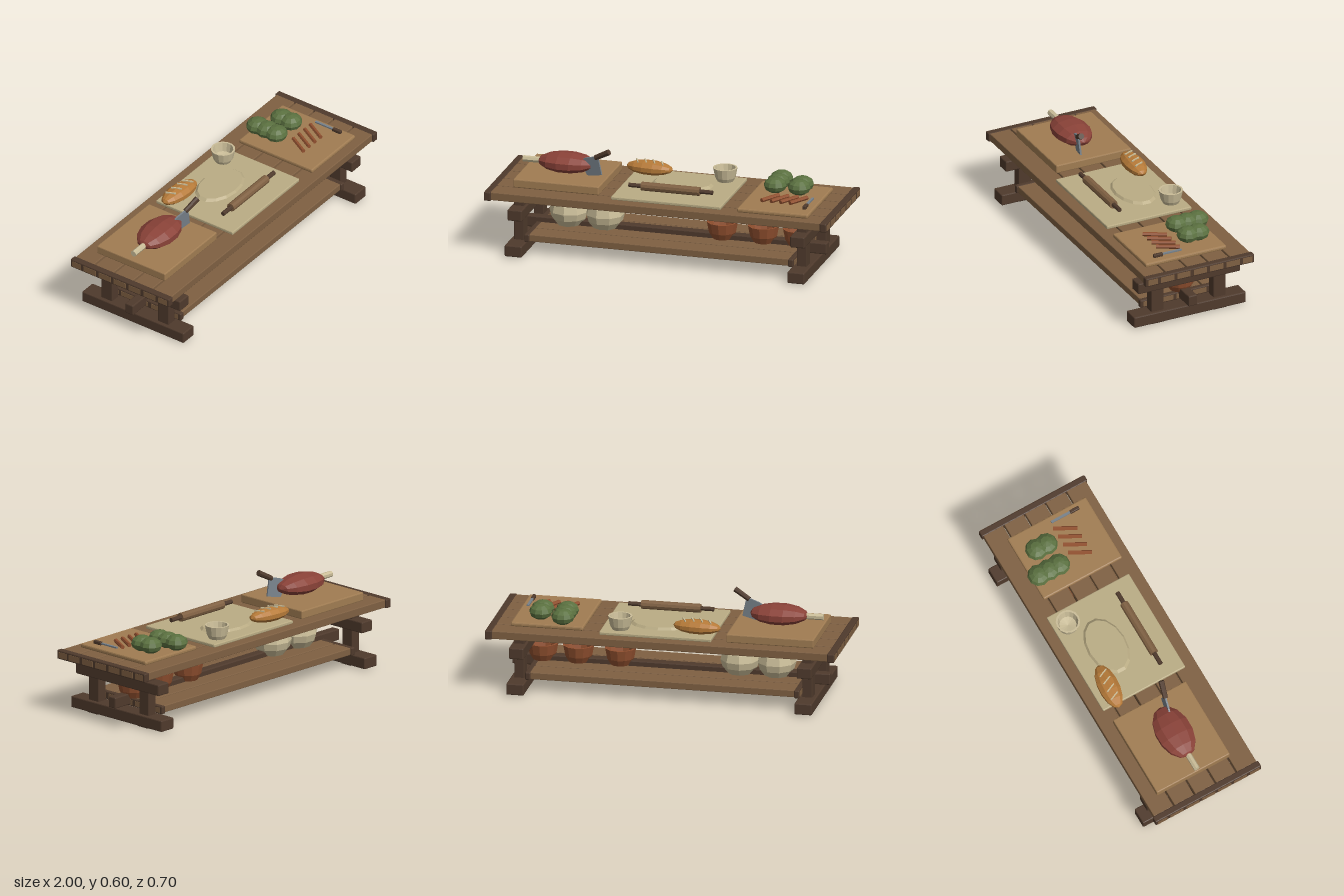
import * as THREE from 'three';
import { RoundedBoxGeometry } from 'three/addons/geometries/RoundedBoxGeometry.js';

const mat = (name, color) => new THREE.MeshStandardMaterial({ name, color, flatShading: true });

export function createModel() {
  const root = new THREE.Group();
  root.name = 'kitchenTable';
  const M = {
    dark: mat('darkWood', 0x4f3a2c),
    plank: mat('plankWood', 0x7f6042),
    board: mat('boardWood', 0xa07c52),
    cloth: mat('cloth', 0xbaac84),
    cream: mat('cream', 0xcabd98),
    meat: mat('meat', 0x8a4238),
    crust: mat('crust', 0xb67a38),
    clay: mat('clay', 0x91502f),
    green: mat('green', 0x5b7140),
    steel: mat('steel', 0x77818a),
  };

  const add = (name, geo, material, x = 0, y = 0, z = 0, parent = root) => {
    const m = new THREE.Mesh(geo, material);
    m.name = name;
    m.position.set(x, y, z);
    parent.add(m);
    return m;
  };
  // Chamfered block given by its extents
  const block = (name, material, [x0, x1], [y0, y1], [z0, z1], bevel = 0.006) =>
    add(name, new RoundedBoxGeometry(x1 - x0, y1 - y0, z1 - z0, 1, bevel), material,
      (x0 + x1) / 2, (y0 + y1) / 2, (z0 + z1) / 2);
  const lathe = (pts, sides) =>
    new THREE.LatheGeometry(pts.map(([r, y]) => new THREE.Vector2(r, y)), sides);
  // Cylinder lying along x
  const rod = (name, material, x0, x1, y, z, r, sides = 8, parent = root) => {
    const m = add(name, new THREE.CylinderGeometry(r, r, x1 - x0, sides), material, (x0 + x1) / 2, y, z, parent);
    m.rotation.z = Math.PI / 2;
    return m;
  };
  // Faceted ellipsoid with its poles on x
  const lump = (name, material, rx, ry, rz, x, y, z, w = 10, h = 7) =>
    add(name, new THREE.SphereGeometry(1, w, h).rotateZ(Math.PI / 2).scale(rx, ry, rz), material, x, y, z);

  // Table top and lower shelf: planks with end caps and inset end panels
  const deck = (name, n, xIn, xOut, y0, y1, half, panelHalf) => {
    const pitch = (half * 2) / n;
    for (let i = 0; i < n; i++) {
      const z = -half + pitch * i;
      block(name + 'Plank', M.plank, [-xIn, xIn], [y0 + 0.003, y1], [z + 0.005, z + pitch - 0.005], 0.004);
    }
    for (const s of [-1, 1]) {
      const xs = [s * (xIn - 0.005), s * xOut].sort((a, b) => a - b);
      block(name + 'EndCap', M.dark, xs, [y0, y1 + 0.002], [-half - 0.005, half + 0.005]);
      for (let k = -3; k <= 3; k++) {
        const a = Math.max(k * 0.103 - 0.042, -panelHalf), b = Math.min(k * 0.103 + 0.042, panelHalf);
        if (b - a < 0.01) continue;
        add(name + 'EndPanel', new THREE.BoxGeometry(0.004, (y1 - y0) * 0.68, b - a), M.plank,
          s * xOut, (y0 + y1) / 2, (a + b) / 2);
      }
    }
  };
  deck('top', 5, 0.965, 1.0, 0.32, 0.37, 0.335, 0.327);
  deck('shelf', 4, 0.76, 0.785, 0.072, 0.116, 0.262, 0.252);

  // Trestles at both ends
  for (const s of [-1, 1]) {
    const span = (a, b) => [s * a, s * b].sort((p, q) => p - q);
    block('foot', M.dark, span(0.775, 0.875), [0.006, 0.072], [-0.35, 0.35]);
    block('crossBeam', M.dark, span(0.783, 0.867), [0.208, 0.273], [-0.32, 0.32]);
    for (const t of [-1, 1]) {
      const zs = [t * 0.157, t * 0.232].sort((p, q) => p - q);
      block('leg', M.dark, span(0.796, 0.854), [0.06, 0.325], zs, 0.004);
      block('footPad', M.dark, span(0.785, 0.865), [0, 0.012], zs, 0.003);
    }
  }
  block('stretcher', M.dark, [-0.91, 0.91], [0.082, 0.147], [-0.027, 0.027]);

  // Jars and clay bowls on the shelf
  for (const [i, x] of [-0.6, -0.39].entries()) {
    const jar = add('jar', lathe([[0, 0.116], [0.07, 0.116], [0.1, 0.155], [0.111, 0.195], [0.1, 0.24],
      [0.065, 0.275], [0.055, 0.287], [0, 0.287]], 9), M.cream, x);
    jar.rotation.y = i * 0.5;
    add('jarLid', new THREE.CylinderGeometry(0.036, 0.036, 0.018, 9), M.dark, x, 0.293, 0);
  }
  for (const x of [0.295, 0.535, 0.74]) {
    add('clayBowl', lathe([[0, 0.117], [0.056, 0.117], [0.078, 0.155], [0.09, 0.215],
      [0.079, 0.215], [0.066, 0.165], [0, 0.152]], 12), M.clay, x);
  }

  // Chopping board with a joint of meat and a cleaver
  block('meatBoard', M.board, [-0.865, -0.365], [0.37, 0.42], [-0.255, 0.215]);
  lump('meat', M.meat, 0.166, 0.057, 0.107, -0.615, 0.475, -0.003);
  rod('bone', M.cream, -0.868, -0.74, 0.473, 0, 0.018, 7);
  const cleaver = new THREE.Group();
  cleaver.name = 'cleaver';
  cleaver.position.set(-0.42, 0.53, 0.048);
  cleaver.rotation.set(0.08, -0.2, 0);
  root.add(cleaver);
  const blade = new THREE.Shape([[0.002, 0.014], [0.025, -0.095], [-0.065, -0.113], [-0.115, -0.03], [-0.075, -0.008]]
    .map(([x, y]) => new THREE.Vector2(x, y)));
  add('cleaverBlade', new THREE.ExtrudeGeometry(blade, { depth: 0.01, bevelEnabled: false }), M.steel, 0, 0, -0.005, cleaver);
  const grip = add('cleaverHandle', new THREE.CylinderGeometry(0.017, 0.015, 0.1, 8), M.dark, 0.03, 0.027, 0, cleaver);
  grip.rotation.z = -1.06;

  // Pastry cloth with dough, rolling pin, loaf and cup
  block('cloth', M.cloth, [-0.28, 0.36], [0.368, 0.388], [-0.268, 0.262], 0.005);
  add('dough', new THREE.CylinderGeometry(0.9, 1, 0.014, 14).scale(0.18, 1, 0.115), M.cloth, 0.045, 0.394, -0.06);
  rod('rollingPin', M.plank, -0.135, 0.205, 0.426, 0.143, 0.025, 10);
  rod('pinHandle', M.dark, -0.21, -0.13, 0.426, 0.143, 0.013);
  rod('pinHandle', M.dark, 0.2, 0.28, 0.426, 0.143, 0.013);
  const loaf = lump('loaf', M.crust, 0.138, 0.041, 0.062, -0.182, 0.427, -0.177);
  loaf.rotation.y = -0.08;
  for (let i = 0; i < 4; i++) {
    const x = -0.075 + i * 0.05;
    const cut = add('loafCut', new THREE.BoxGeometry(0.007, 0.008, 0.06), M.cream,
      x, 0.041 * Math.sqrt(1 - (x / 0.138) ** 2) - 0.001, 0, loaf);
    cut.rotation.y = 0.5;
  }
  add('cup', lathe([[0, 0.386], [0.045, 0.386], [0.058, 0.41], [0.069, 0.466], [0.058, 0.466],
    [0.048, 0.415], [0, 0.405]], 14), M.cream, 0.255, 0, -0.19);

  // Vegetable board
  block('vegetableBoard', M.board, [0.46, 0.875], [0.37, 0.395], [-0.228, 0.278], 0.008);
  const greens = [[0.585, -0.19], [0.585, -0.125], [0.585, -0.06], [0.725, -0.125], [0.725, -0.06]];
  for (const [x, z] of greens) {
    add('cabbage', new THREE.SphereGeometry(1, 10, 6).scale(0.066, 0.045, 0.064), M.green, x, 0.436, z);
  }
  for (let i = 0; i < 4; i++) {
    const root4 = rod('carrot', M.clay, 0, 0.135, 0.408, 0.083, 0.012, 6);
    root4.position.x = 0.598 + i * 0.055;
    root4.rotation.set(0, 1.06, Math.PI / 2);
  }
  add('knifeBlade', new THREE.BoxGeometry(0.014, 0.008, 0.125), M.steel, 0.832, 0.411, 0.095);
  block('knifeHandle', M.dark, [0.822, 0.842], [0.4, 0.42], [0.153, 0.21], 0.004);

  return root;
}
